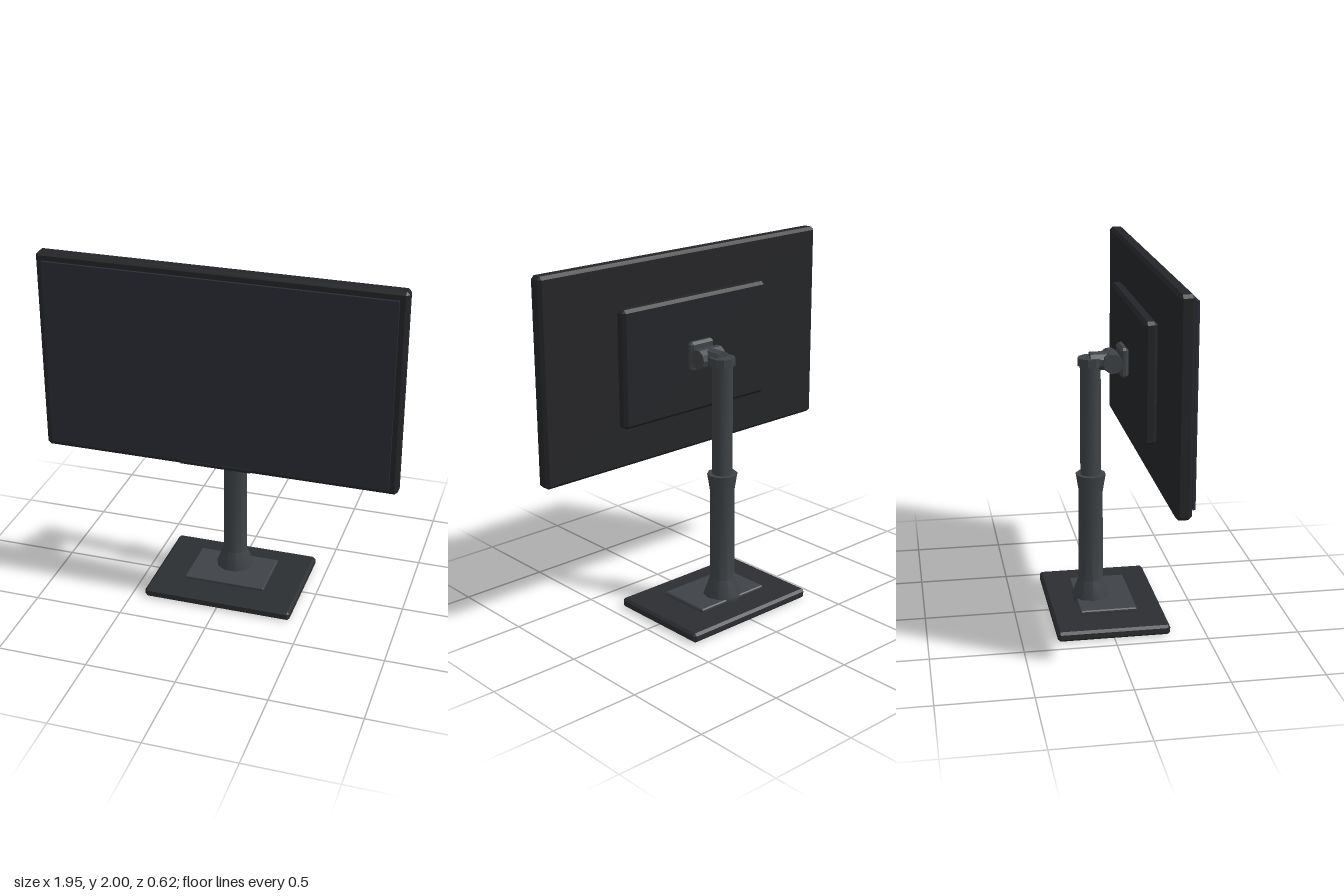
import * as THREE from 'three';
import { ConvexGeometry } from 'three/addons/geometries/ConvexGeometry.js';
import { toCreasedNormals } from 'three/addons/utils/BufferGeometryUtils.js';

const mat = (color) => new THREE.MeshStandardMaterial({ color });
const shell = mat(0x242528), screenMat = mat(0x2a2e37), baseMat = mat(0x2b2e31), metal = mat(0x3f4347);

// Box given by its limits, with every edge cut at 45 degrees
function chamferBox([x0, x1], [y0, y1], [z0, z1], c) {
  const h = [(x1 - x0) / 2, (y1 - y0) / 2, (z1 - z0) / 2];
  const points = [];
  for (const sx of [-1, 1]) for (const sy of [-1, 1]) for (const sz of [-1, 1])
    for (let axis = 0; axis < 3; axis++) {
      const [x, y, z] = h.map((v, i) => (i === axis ? v : v - c));
      points.push(new THREE.Vector3(sx * x, sy * y, sz * z));
    }
  return new ConvexGeometry(points).translate((x0 + x1) / 2, (y0 + y1) / 2, (z0 + z1) / 2);
}

export function createModel() {
  const group = new THREE.Group();
  const add = (name, geometry, material) => {
    const mesh = new THREE.Mesh(geometry, material);
    mesh.name = name;
    group.add(mesh);
    return mesh;
  };
  const both = (v) => [-v, v];

  // Display: housing, floating front panel, chin strip and rear housing
  add('displayHousing', chamferBox(both(0.977), [0.88, 2], [0.203, 0.285], 0.017), shell);
  const panel = add('screenPanel', new THREE.BoxGeometry(1.87, 1.04, 0.014), screenMat);
  panel.position.set(0, 1.44, 0.302);
  const chin = add('chinStrip', new THREE.BoxGeometry(0.39, 0.016, 0.01), shell);
  chin.position.set(0, 0.905, 0.3);
  add('rearHousing', chamferBox(both(0.51), [1.118, 1.765], [0.13, 0.2], 0.017), shell);
  add('mountPlate', chamferBox(both(0.082), [1.36, 1.525], [0.086, 0.13], 0.014), metal);

  // Tilt joint and the short arm running back to the column
  const hinge = add('tiltHinge', new THREE.CylinderGeometry(0.054, 0.054, 0.16, 10).toNonIndexed(), metal);
  hinge.geometry.computeVertexNormals();
  hinge.rotation.z = Math.PI / 2;
  hinge.position.set(0, 1.44, 0.048);
  const arm = add('arm', new THREE.CylinderGeometry(0.053, 0.053, 0.105, 10).toNonIndexed(), metal);
  arm.geometry.computeVertexNormals();
  arm.rotation.x = Math.PI / 2;
  arm.position.set(0, 1.442, -0.016);

  // Telescopic column: inner tube, cap and flared sleeve
  const columnZ = -0.065;
  const tube = add('columnTube', toCreasedNormals(new THREE.CylinderGeometry(0.057, 0.057, 0.68, 10), 0.7), metal);
  tube.position.set(0, 1.09, columnZ);
  const cap = add('columnCap', toCreasedNormals(new THREE.CylinderGeometry(0.069, 0.069, 0.045, 10), 0.3), metal);
  cap.position.set(0, 1.442, columnZ);
  const profile = [[0, 0.05], [0.1, 0.05], [0.109, 0.08], [0.07, 0.185], [0.067, 0.7], [0.084, 0.805], [0, 0.805]]
    .map(([r, y]) => new THREE.Vector2(r, y));
  const sleeve = add('columnSleeve', toCreasedNormals(new THREE.LatheGeometry(profile, 10), 0.7), metal);
  sleeve.rotation.y = Math.PI / 2;
  sleeve.position.z = columnZ;

  // Foot: wide slab with a thin raised plate
  add('basePlate', chamferBox(both(0.423), [0, 0.055], both(0.308), 0.014), baseMat);
  add('baseTopPlate', chamferBox(both(0.232), [0.063, 0.085], both(0.157), 0.006), metal);

  return group;
}
